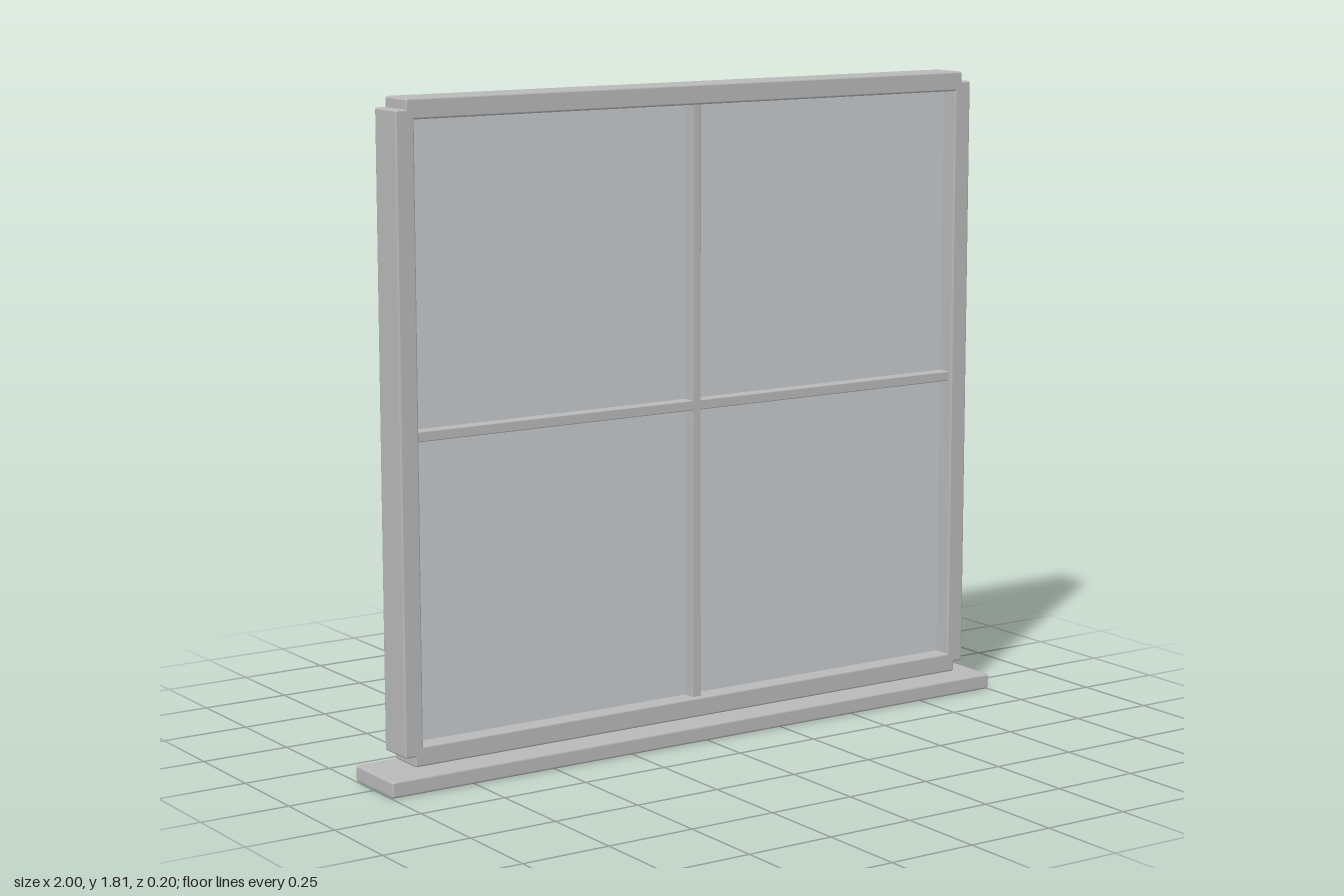
import * as THREE from 'three';
import { RoundedBoxGeometry } from 'three/addons/geometries/RoundedBoxGeometry.js';

export function createModel() {
  const window = new THREE.Group();
  window.name = 'window';

  const frameGrey = new THREE.MeshStandardMaterial({ color: 0xb8b8b8 });
  frameGrey.name = 'frameGrey';
  const paleGlass = new THREE.MeshStandardMaterial({ color: 0xc6cbce });
  paleGlass.name = 'paleGlass';

  // Softly bevelled bar, given by its size and centre
  function bar(name, size, position, radius = 0.006) {
    const mesh = new THREE.Mesh(new RoundedBoxGeometry(...size, 2, radius), frameGrey);
    mesh.name = name;
    mesh.position.set(...position);
    window.add(mesh);
  }

  const midY = 0.9365;

  // Outer frame: side posts with slightly offset rails
  for (const [side, name] of [[1, 'left'], [-1, 'right']]) {
    bar(name + 'Jamb', [0.055, 1.7, 0.11], [side * 0.9075, midY, 0]);
  }
  bar('topRail', [1.81, 0.055, 0.11], [0, 1.787, 0]);
  bar('bottomRail', [1.81, 0.055, 0.11], [0, 0.086, 0]);

  // Crossing glazing bars
  bar('verticalGlazingBar', [0.028, 1.66, 0.08], [0, midY, 0], 0.003);
  bar('horizontalGlazingBar', [1.77, 0.028, 0.08], [0, midY, 0], 0.003);

  // Sill, separated from the frame by a narrow gap
  bar('sill', [2, 0.046, 0.2], [0, 0.023, 0], 0.007);

  // Small knob standing off the back
  bar('knob', [0.028, 0.028, 0.02], [0.793, midY, -0.078], 0.007);

  // Four panes around the glazing bars
  const paneShape = new THREE.BoxGeometry(0.87, 0.815, 0.008);
  for (const x of [-1, 1]) {
    for (const y of [-1, 1]) {
      const pane = new THREE.Mesh(paneShape, paleGlass);
      pane.name = (y > 0 ? 'upper' : 'lower') + (x > 0 ? 'Left' : 'Right') + 'Pane';
      pane.position.set(x * 0.447, midY + y * 0.419, 0);
      window.add(pane);
    }
  }

  return window;
}
